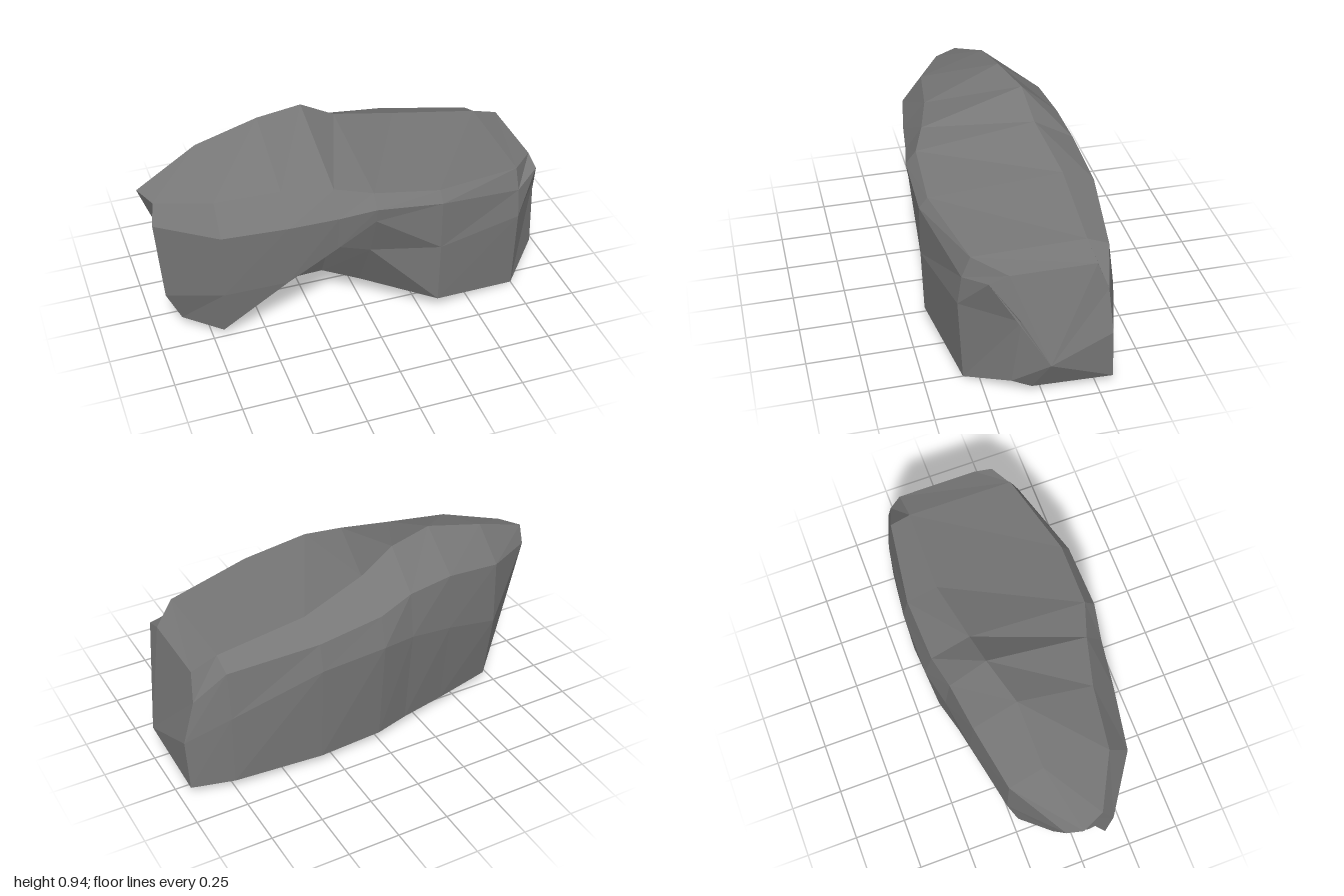
import * as THREE from 'three';

// Lengthwise stations; the two end rings get their own x per rail
const stations = [-0.95, -0.7, -0.4, -0.17, 0, 0.32, 0.75, 0.95];

// Rails running along the boulder, each with end x values and [y, z] per station
const rails = [
  // front foot, rising to the back wall of the arched hollow
  { ends: [-0.87, 0.93], yz: [[0.06, 0.12], [0.04, 0.25], [0.18, 0.17], [0.39, 0.23], [0.4, 0.33], [0.08, 0.41], [0, 0.32], [0.09, 0.14]] },
  // front middle, the lip of the hollow
  { ends: [-0.94, 0.94], yz: [[0.22, 0.13], [0.28, 0.29], [0.31, 0.33], [0.48, 0.37], [0.62, 0.41], [0.4, 0.42], [0.42, 0.34], [0.42, 0.1]] },
  // front shoulder
  { ends: [-0.97, 0.88], yz: [[0.63, 0.13], [0.62, 0.31], [0.64, 0.36], [0.66, 0.39], [0.69, 0.42], [0.65, 0.42], [0.56, 0.32], [0.6, 0.23]] },
  // front upper edge
  { ends: [-0.95, 0.88], yz: [[0.72, 0.08], [0.75, 0.21], [0.77, 0.25], [0.77, 0.31], [0.75, 0.37], [0.7, 0.38], [0.66, 0.28], [0.63, 0.14]] },
  // crest
  { ends: [-1, 0.88], yz: [[0.73, -0.03], [0.86, -0.11], [0.94, -0.12], [0.93, -0.18], [0.83, -0.2], [0.74, -0.25], [0.67, -0.24], [0.63, -0.25]] },
  // back shoulder
  { ends: [-0.97, 0.9], yz: [[0.67, -0.1], [0.72, -0.27], [0.78, -0.33], [0.77, -0.36], [0.72, -0.39], [0.68, -0.4], [0.63, -0.34], [0.5, -0.3]] },
  // back middle
  { ends: [-0.89, 0.96], yz: [[0.38, -0.11], [0.4, -0.28], [0.5, -0.35], [0.55, -0.39], [0.57, -0.43], [0.55, -0.43], [0.4, -0.37], [0.3, -0.31]] },
];

// One cross-section: the rail points, then the back foot and the underside
function ring(x, i) {
  const end = i === 0 ? 0 : i === stations.length - 1 ? 1 : -1;
  const points = rails.map(({ ends, yz }) => [end < 0 ? x : ends[end], ...yz[i]]);
  const front = points[0], back = points[points.length - 1];
  // the back foot tucks in towards one end
  const foot = [end === 0 ? -0.82 : x, 0.045, back[2] * (0.9 + 0.15 * x)];
  // the underside is lifted below the hollow
  const rise = 0.12 * Math.exp(-(((x + 0.2) / 0.3) ** 2));
  const under = [front[0], 0.04 + rise, THREE.MathUtils.lerp(foot[2], front[2], 0.8)];
  return [...points, foot, under];
}

function rockGeometry() {
  const rings = stations.map(ring);
  const n = rings[0].length, last = stations.length - 1;
  const positions = rings.flat(2), index = [];
  // End centres: a shallow groove on one end, a blunt point on the other
  const hollow = n * rings.length, point = hollow + 1;
  positions.push(-0.87, 0.38, 0.02, 1, 0.2, -0.02);

  for (let j = 0; j < n; j++) {
    const k = (j + 1) % n;
    for (let i = 0; i < last; i++) {
      const a = i * n + j, b = a + n, c = (i + 1) * n + k, d = i * n + k;
      index.push(a, b, c, a, c, d);
    }
    index.push(hollow, j, k, point, last * n + k, last * n + j);
  }
  const geometry = new THREE.BufferGeometry();
  geometry.setAttribute('position', new THREE.Float32BufferAttribute(positions, 3));
  geometry.setIndex(index);
  const flat = geometry.toNonIndexed();
  flat.computeVertexNormals();
  return flat;
}

export function createModel() {
  const model = new THREE.Group();
  model.name = 'boulder';
  const stone = new THREE.MeshStandardMaterial({ color: 0x777777, flatShading: true });
  const rock = new THREE.Mesh(rockGeometry(), stone);
  rock.name = 'rock';
  model.add(rock);
  return model;
}
